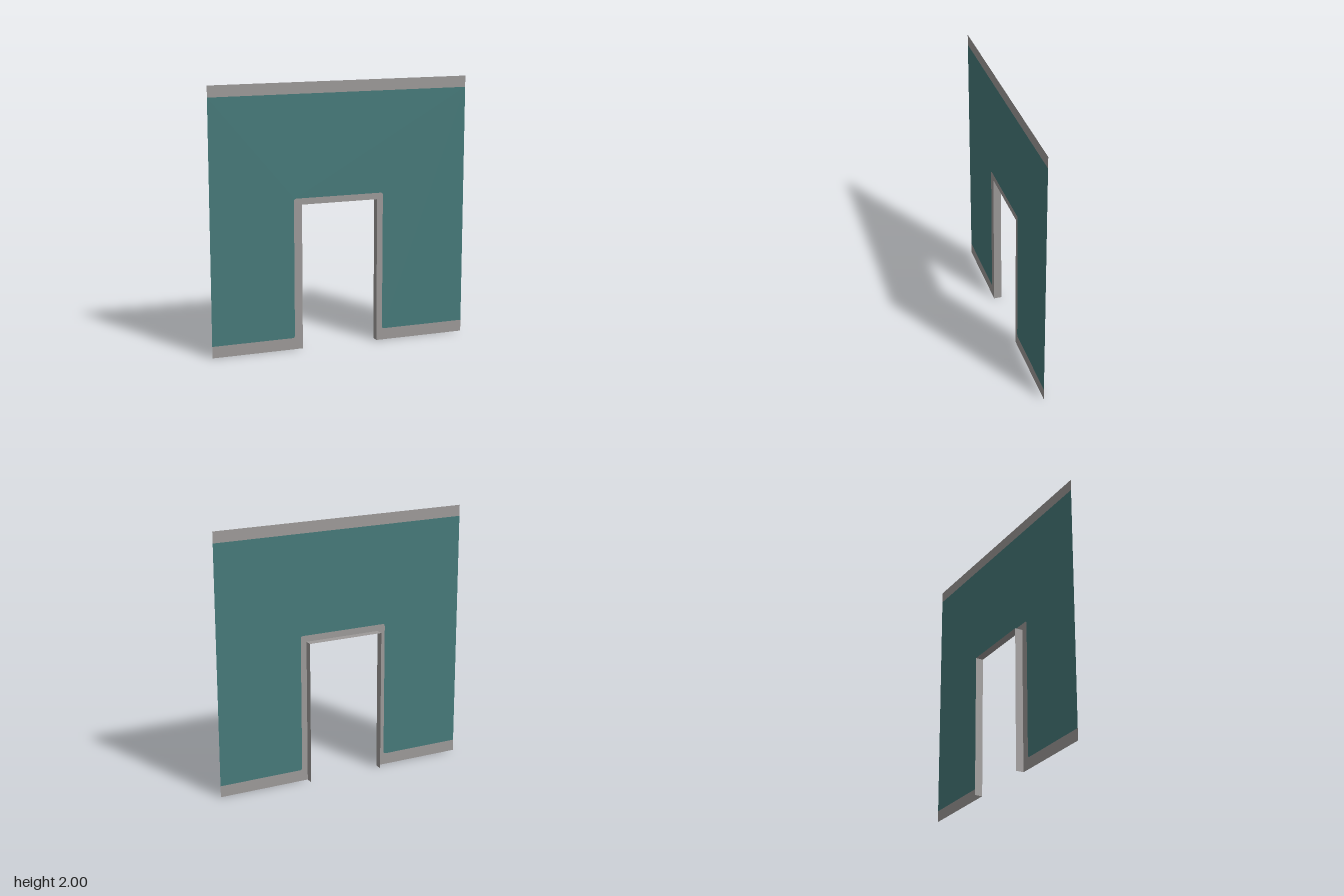
import * as THREE from 'three';

const paint = new THREE.MeshStandardMaterial({ name: 'teal wall paint', color: 0x467a7a, side: THREE.DoubleSide });
const trim = new THREE.MeshStandardMaterial({ name: 'grey trim', color: 0x9d9a99, side: THREE.DoubleSide });

const FRONT = 0.03, BACK = -0.03;                       // sheet plane and back of the doorway lining
const door = { left: -0.302, right: 0.291, top: 1.1 };
const frame = { left: -0.364, right: 0.337, top: 1.148 };
const SKIRT = 0.088, CORNICE = 1.915, R = 0.02;

// Border between paint and trim, from left wall edge to right, with rounded corners
function borderPoints() {
  const path = new THREE.Path();
  const { left, right, top } = frame;
  path.moveTo(-1, SKIRT);
  path.lineTo(left - R, SKIRT);
  path.quadraticCurveTo(left, SKIRT, left, SKIRT + R);
  path.lineTo(left, top - R);
  path.quadraticCurveTo(left, top, left + R, top);
  path.lineTo(right - R, top);
  path.quadraticCurveTo(right, top, right, top - R);
  path.lineTo(right, SKIRT + R);
  path.quadraticCurveTo(right, SKIRT, right + R, SKIRT);
  path.lineTo(1, SKIRT);
  return path.getPoints(5);
}

function sheet(name, points, material) {
  const mesh = new THREE.Mesh(new THREE.ShapeGeometry(new THREE.Shape(points)), material);
  mesh.name = name;
  mesh.position.z = FRONT;
  return mesh;
}

const pts = (list) => list.map(([x, y]) => new THREE.Vector2(x, y));

export function createModel() {
  const model = new THREE.Group();
  model.name = 'doorwayWall';

  // Flat wall sheet: paint, skirting with door surround, cornice band
  model.add(sheet('paintedWall', [...borderPoints(), ...pts([[1, CORNICE], [-1, CORNICE]])], paint));
  model.add(sheet('skirtingAndDoorSurround', [
    ...borderPoints(),
    ...pts([[1, 0], [door.right, 0], [door.right, door.top], [door.left, door.top], [door.left, 0], [-1, 0]]),
  ], trim));
  model.add(sheet('corniceBand', pts([[-1, CORNICE], [1, CORNICE], [1, 2], [-1, 2]]), trim));

  // Doorway lining: two jambs and a head, running back from the sheet
  const depth = FRONT - BACK;
  for (const [name, x, turn] of [['leftJamb', door.right, -1], ['rightJamb', door.left, 1]]) {
    const jamb = new THREE.Mesh(new THREE.PlaneGeometry(depth, door.top), trim);
    jamb.name = name;
    jamb.rotation.y = turn * Math.PI / 2;
    jamb.position.set(x, door.top / 2, 0);
    model.add(jamb);
  }
  const head = new THREE.Mesh(new THREE.PlaneGeometry(door.right - door.left, depth), trim);
  head.name = 'doorHead';
  head.rotation.x = Math.PI / 2;
  head.position.set((door.left + door.right) / 2, door.top, 0);
  model.add(head);

  return model;
}
